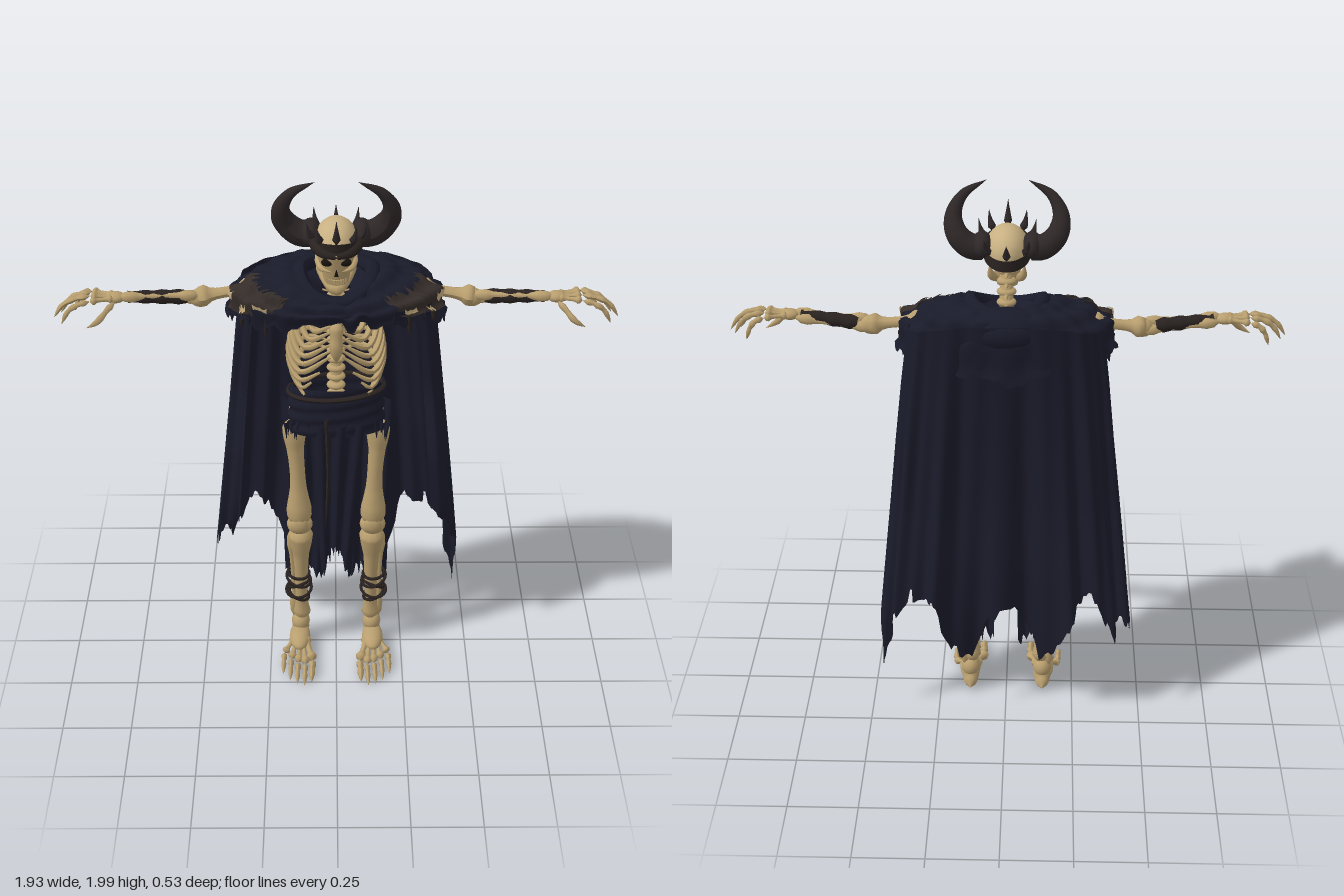
import * as THREE from 'three';

const V = (x, y, z) => new THREE.Vector3(x, y, z);
const lerp = THREE.MathUtils.lerp;
const material = (name, color, side = THREE.FrontSide) => {
  const m = new THREE.MeshStandardMaterial({ color, side });
  m.name = name;
  return m;
};
const bone = material('bone', 0xb99f6f);
const paleBone = material('pale bone', 0xc8b082, THREE.DoubleSide);
const cloth = material('midnight cloth', 0x1a1b2a, THREE.DoubleSide);
const leather = material('old leather', 0x292220, THREE.DoubleSide);
const horn = material('dark horn', 0x2e2728);
const patchMat = material('worn shoulder', 0x352d2a, THREE.DoubleSide);
const hollow = material('hollow', 0x17130f);

// Even samples along a list of values
const along = (list, t) => {
  const f = Math.min(Math.max(t, 0), 1) * (list.length - 1), i = Math.min(Math.floor(f), list.length - 2);
  return lerp(list[i], list[i + 1], f - i);
};
// Samples from [position, value] pairs
const curveAt = (pairs, t) => {
  let i = 0;
  while (i < pairs.length - 2 && t > pairs[i + 1][0]) i++;
  const [a, b] = [pairs[i], pairs[i + 1]];
  return lerp(a[1], b[1], (t - a[0]) / (b[0] - a[0]));
};
const jag = (i) => { const s = Math.sin(i * 12.9898) * 43758.5453; return s - Math.floor(s); };
const softPow = (x, p) => Math.sign(x) * Math.abs(x) ** p;

function add(parent, name, geo, mat, pos, scale) {
  const m = new THREE.Mesh(geo, mat);
  m.name = name;
  if (pos) m.position.copy(pos);
  if (scale) m.scale.set(...scale);
  parent.add(m);
  return m;
}
const ball = (parent, name, mat, pos, scale) => add(parent, name, new THREE.SphereGeometry(1, 18, 12), mat, pos, scale);

// Tube with a radius profile along its path
function sweep(parent, name, mat, pts, radii, seg = 16, sides = 8, closed = false) {
  const path = new THREE.CatmullRomCurve3(pts, closed);
  const g = new THREE.TubeGeometry(path, seg, 1, sides, closed);
  const p = g.attributes.position, v = V(0, 0, 0);
  for (let i = 0; i < p.count; i++) {
    const t = Math.floor(i / (sides + 1)) / seg, c = path.getPointAt(t);
    v.fromBufferAttribute(p, i).sub(c).multiplyScalar(along(radii, t)).add(c);
    p.setXYZ(i, v.x, v.y, v.z);
  }
  g.computeVertexNormals();
  return add(parent, name, g, mat);
}
const limb = (parent, name, a, b, r, mat = bone) =>
  sweep(parent, name, mat, [a, b], [0, 1.5, 1.7, 1.1, 0.9, 0.85, 0.85, 0.9, 1.1, 1.7, 1.5, 0].map((k) => k * r), 22);

// Sheet: u runs across, v runs from top to hem
function sheet(parent, name, mat, cols, rows, rule) {
  const g = new THREE.PlaneGeometry(1, 1, cols, rows);
  const p = g.attributes.position, uv = g.attributes.uv;
  for (let i = 0; i < p.count; i++) p.setXYZ(i, ...rule(uv.getX(i), 1 - uv.getY(i), i % (cols + 1)));
  g.computeVertexNormals();
  return add(parent, name, g, mat);
}

function buildHead(root) {
  const head = new THREE.Group();
  head.name = 'head';
  root.add(head);
  ball(head, 'cranium', paleBone, V(0, 1.765, 0.085), [0.076, 0.085, 0.105]);
  // Face block narrows to the chin
  add(head, 'face', new THREE.CylinderGeometry(0.064, 0.036, 0.14, 16, 4), bone, V(0, 1.69, 0.128)).rotation.x = 0.06;
  sweep(head, 'jaw', bone, [V(-0.06, 1.72, 0.06), V(-0.052, 1.665, 0.085), V(0, 1.628, 0.165), V(0.052, 1.665, 0.085), V(0.06, 1.72, 0.06)], [0, 0.015, 0.016, 0.018, 0.016, 0.015, 0], 24);
  for (const s of [-1, 1]) {
    ball(head, 'eyeSocket', hollow, V(s * 0.03, 1.738, 0.18), [0.02, 0.014, 0.012]);
    sweep(head, 'cheekbone', bone, [V(s * 0.015, 1.705, 0.188), V(s * 0.05, 1.708, 0.163), V(s * 0.07, 1.73, 0.09)], [0, 0.01, 0.01, 0]);
    sweep(head, 'brow', leather, [V(0, 1.765, 0.196), V(s * 0.04, 1.768, 0.18), V(s * 0.085, 1.785, 0.1)], [0.01, 0.016, 0.022, 0.014]);
    // Broad root tapering to an inward tip
    sweep(head, 'horn', horn, [V(s * 0.05, 1.79, 0.06), V(s * 0.12, 1.785, 0.055), V(s * 0.168, 1.825, 0.06), V(s * 0.182, 1.885, 0.085), V(s * 0.15, 1.95, 0.108), V(s * 0.07, 1.998, 0.125)], [0, 0.046, 0.044, 0.041, 0.036, 0.029, 0.022, 0.016, 0.009, 0], 36, 12);
    ball(head, 'hornRoot', horn, V(s * 0.085, 1.79, 0.06), [0.035, 0.043, 0.066]);
  }
  add(head, 'noseHollow', new THREE.ConeGeometry(0.009, 0.026, 3), hollow, V(0, 1.702, 0.186)).rotation.y = Math.PI;
  for (let i = -4; i <= 4; i++) add(head, 'tooth', new THREE.BoxGeometry(0.006, 0.016, 0.006), bone, V(i * 0.0075, 1.662, 0.178 - i * i * 0.0012));
  // Crown band with thorns leaning outward
  sheet(head, 'crown', leather, 40, 2, (u, v) => {
    const a = u * Math.PI * 2, back = (1 - Math.cos(a)) / 2;
    return [0.081 * Math.sin(a), 1.808 - v * 0.04 - back * 0.045, 0.085 + 0.109 * Math.cos(a)];
  });
  for (const a of [0, -0.7, 0.7, -1.35, 1.35, -2.3, 2.3, Math.PI]) {
    const b = V(0.075 * Math.sin(a), 1.8 - 0.02 * (1 - Math.cos(a)), 0.085 + 0.1 * Math.cos(a));
    const tip = V(b.x * 1.35, b.y + (a === 0 ? 0.1 : 0.075), b.z + (Math.cos(a) > 0 ? 0.022 : -0.05));
    sweep(head, 'crownThorn', horn, [b, b.clone().lerp(tip, 0.5).add(V(b.x * 0.08, 0, 0.005)), tip], [0, 0.014, 0.009, 0.004, 0], 12, 6);
  }
}

function buildTorso(root) {
  const torso = new THREE.Group();
  torso.name = 'torso';
  root.add(torso);
  // Spine and neck
  const spineAt = (y) => V(0, y, y < 1.5 ? -0.035 + 0.035 * Math.cos((y - 1.1) * 8) : -0.07 + (y - 1.5) * 0.5);
  for (let i = 0; i < 20; i++) {
    const c = spineAt(1.1 + i * 0.032);
    ball(torso, 'vertebra', bone, c, [0.034, 0.016, 0.028]);
    sweep(torso, 'spineThorn', bone, [c, c.clone().add(V(0, -0.012, -0.05))], [0.012, 0.009, 0], 4, 5);
  }
  sweep(torso, 'spinalCore', bone, Array.from({ length: 10 }, (_, i) => spineAt(1.1 + i * 0.069)), [0, 0.022, 0.02, 0.02, 0.022, 0.024, 0.022], 30);
  sweep(torso, 'sternum', bone, [V(0, 1.5, 0.125), V(0, 1.42, 0.142), V(0, 1.33, 0.138)], [0, 0.026, 0.02, 0.024, 0.018, 0]);
  for (const s of [-1, 1]) {
    for (let i = 0; i < 9; i++) {
      const y = 1.54 - i * 0.032, w = along([0.1, 0.135, 0.155, 0.165, 0.165, 0.145], i / 8);
      const end = i < 6 ? V(s * 0.02, y - 0.065 + i * 0.008, 0.136) : V(s * (0.055 + (i - 6) * 0.03), y - 0.06 - (i - 6) * 0.015, 0.125 - (i - 6) * 0.015);
      sweep(torso, 'rib', bone, [V(s * 0.015, y, -0.05), V(s * w * 0.7, y + 0.008, -0.065), V(s * w, y - 0.045, 0.02), V(s * w * 0.76, y - 0.1, 0.105), end], [0, 0.009, 0.01, 0.011, 0.011, 0.009, 0.004], 24, 6);
    }
    sweep(torso, 'collarbone', bone, [V(s * 0.02, 1.5, 0.135), V(s * 0.13, 1.52, 0.13), V(s * 0.3, 1.54, 0.02)], [0, 0.014, 0.012, 0.015, 0]);
    ball(torso, 'hipBone', bone, V(s * 0.1, 1.06, 0), [0.07, 0.07, 0.05]);
  }
  // Waist wraps
  sheet(torso, 'sash', cloth, 60, 16, (u, v) => {
    const a = u * Math.PI * 2, r = 1 + 0.035 * Math.sin(v * 24 + 2 * Math.sin(a)) + 0.04 * v;
    return [0.165 * r * Math.sin(a), 1.2 - v * 0.19 + 0.012 * Math.sin(a + 1), 0.03 + 0.092 * r * Math.cos(a)];
  });
  const ring = Array.from({ length: 16 }, (_, i) => i / 16 * Math.PI * 2).map((a) => V(0.168 * Math.sin(a), 1.175 + 0.012 * Math.sin(a), 0.03 + 0.094 * Math.cos(a)));
  sweep(torso, 'belt', leather, ring, [0.01, 0.01], 48, 6, true);
}

function buildArm(root, s) {
  const arm = new THREE.Group();
  arm.name = s > 0 ? 'leftArm' : 'rightArm';
  root.add(arm);
  const P = (x, y, z) => V(s * x, y, z);
  limb(arm, 'upperArm', P(0.27, 1.545, -0.02), P(0.49, 1.515, 0), 0.023);
  ball(arm, 'elbow', bone, P(0.465, 1.515, 0), [0.04, 0.034, 0.028]);
  limb(arm, 'radius', P(0.46, 1.53, 0.012), P(0.745, 1.54, 0.045), 0.012);
  limb(arm, 'ulna', P(0.45, 1.505, -0.01), P(0.735, 1.53, 0.02), 0.012);
  sweep(arm, 'forearmWrap', leather, [P(0.51, 1.52, 0.004), P(0.71, 1.534, 0.031)], [0.022, 0.027, 0.023, 0.026, 0.021, 0.024, 0.019, 0.021], 28, 10);
  ball(arm, 'wrist', bone, P(0.75, 1.535, 0.035), [0.032, 0.019, 0.028]);
  for (let i = 0; i < 4; i++) {
    const z = -0.012 + i * 0.032, len = [0.9, 0.945, 0.965, 0.935][i], y = 1.545 - Math.abs(i - 1.5) * 0.008;
    const k = P(0.835, y + 0.005, 0.02 + (z - 0.02) * 0.8);
    limb(arm, 'handBone', P(0.755, 1.537, 0.022 + i * 0.009), k, 0.0085);
    sweep(arm, 'finger', bone, [k, P(lerp(0.835, len, 0.45), y - 0.005, z), P(lerp(0.835, len, 0.75), y - 0.028, z), P(len, y - 0.075, z)], [0, 0.013, 0.008, 0.012, 0.008, 0.009, 0.006, 0], 24, 6);
  }
  sweep(arm, 'thumb', bone, [P(0.75, 1.53, 0.05), P(0.78, 1.505, 0.08), P(0.81, 1.475, 0.1), P(0.85, 1.45, 0.1)], [0, 0.012, 0.009, 0.012, 0.008, 0], 18, 6);
}

function buildLeg(root, s) {
  const leg = new THREE.Group();
  leg.name = s > 0 ? 'leftLeg' : 'rightLeg';
  root.add(leg);
  const P = (x, y, z) => V(s * x, y, z);
  sweep(leg, 'thighBone', bone, [P(0.145, 1.05, 0.015), P(0.15, 0.98, 0.025), P(0.14, 0.8, 0.035), P(0.135, 0.575, 0.03)], [0, 0.045, 0.04, 0.032, 0.029, 0.028, 0.028, 0.031, 0.038, 0.046, 0.046, 0], 36, 10);
  ball(leg, 'knee', bone, P(0.135, 0.583, 0.028), [0.048, 0.04, 0.04]);
  ball(leg, 'kneecap', bone, P(0.135, 0.6, 0.062), [0.032, 0.036, 0.018]);
  sweep(leg, 'shinBone', bone, [P(0.133, 0.585, 0.028), P(0.132, 0.4, 0.015), P(0.132, 0.09, -0.02)], [0, 0.047, 0.04, 0.03, 0.027, 0.025, 0.024, 0.023, 0.025, 0.034, 0], 30, 10);
  limb(leg, 'calfBone', P(0.168, 0.55, 0.005), P(0.158, 0.09, -0.03), 0.011);
  // Ankle bindings
  for (let i = 0; i < 5; i++) {
    const r = add(leg, 'binding', new THREE.TorusGeometry(0.04 + (i % 2) * 0.008, 0.006, 6, 20), leather, P(0.142, 0.235 + i * 0.027, -0.003 + i * 0.003));
    r.rotation.set(Math.PI / 2 + 0.35 * Math.sin(i * 2.3), s * 0.4 * Math.cos(i * 1.9), 0);
  }
  // Heel to instep, then toes
  ball(leg, 'ankle', bone, P(0.137, 0.09, -0.02), [0.035, 0.04, 0.038]);
  sweep(leg, 'heel', bone, [P(0.137, 0.085, -0.005), P(0.137, 0.045, -0.035), P(0.137, 0.025, -0.078)], [0, 0.034, 0.03, 0.024, 0], 14, 10);
  ball(leg, 'instep', bone, P(0.14, 0.052, 0.03), [0.04, 0.03, 0.08]);
  for (let i = 0; i < 5; i++) {
    const x = 0.09 + i * 0.027, end = [0.25, 0.272, 0.262, 0.24, 0.205][i], thick = i ? 1 : 1.3;
    const k = P(x, 0.025, end - 0.105);
    limb(leg, 'footBone', P(0.12 + i * 0.01, 0.055, 0.04), k, 0.0095 * thick);
    sweep(leg, 'toe', bone, [k, P(x + 0.002, 0.026, end - 0.05), P(x + 0.004, 0.006, end)], [0, 0.013, 0.008, 0.011, 0.007, 0].map((r) => r * thick), 16, 6);
  }
}

function buildCloth(root) {
  // Long ragged cape wrapped round the back
  const hem = [[-1, 0.62], [-0.8, 0.5], [-0.66, 0.36], [-0.55, 0.42], [-0.45, 0.37], [-0.36, 0.53], [-0.25, 0.52], [-0.18, 0.32], [-0.1, 0.24], [-0.04, 0.48],
    [0.04, 0.46], [0.1, 0.28], [0.18, 0.3], [0.25, 0.54], [0.4, 0.54], [0.5, 0.42], [0.64, 0.2], [0.72, 0.42], [0.82, 0.56], [1, 0.62]];
  sheet(root, 'cape', cloth, 180, 26, (u, v, i) => {
    const t = u * 2 - 1, a = t * 2.2;
    const y = lerp(1.6 - 0.05 * Math.sin(a) ** 2, curveAt(hem, t) + 0.07 * (jag(Math.floor(i / 2)) - 0.5), v);
    const d = (1.6 - y) / 1.2;
    const fold = (0.003 + 0.02 * Math.min(d, 1)) * (Math.sin(t * 29 + d) + 0.6 * Math.sin(t * 53 + 2 - d));
    const w = along([0.325, 0.355, 0.38, 0.405, 0.43, 0.455], d) + fold * 0.4;
    const depth = along([0.107, 0.107, 0.108, 0.16, 0.175, 0.15], d) + fold;
    const dip = 0.07 * Math.exp(-((t / 0.2) ** 2)) * d;
    return [w * softPow(Math.sin(a), 0.85), y, along([-0.093, -0.093, -0.1, -0.065, -0.08, -0.12], d) + dip - depth * softPow(Math.cos(a), 0.75)];
  });
  // Shoulder mantle, with worn patches lying just over it
  const mantle = (a, v, lift, rag) => {
    const c = Math.cos(a), s2 = Math.sin(a) ** 2;
    const side = along([1.55, 1.63, 1.61, 1.59, 1.55, 1.475], v);
    const mid = c > 0 ? along([1.53, 1.575, 1.565, 1.545, 1.525, 1.5], v) : along([1.57, 1.625, 1.63, 1.6, 1.53, 1.42], v);
    const z = c > 0 ? along([0.04, 0.1, 0.14, 0.165, 0.175, 0.16], v) : along([0.04, 0.1, 0.15, 0.19, 0.2, 0.205], v);
    const crease = 0.006 * Math.sin(a * 17 + v * 5) * v + 0.006 * Math.sin(v * 26 + Math.sin(a * 2));
    const r = 1 + crease * 3 + lift * 3;
    return [along([0.05, 0.155, 0.22, 0.3, 0.36, 0.375], v) * r * Math.sin(a), lerp(mid, side, s2) + crease + lift - rag * v ** 4, z * r * c - 0.01 * s2];
  };
  sheet(root, 'mantle', cloth, 120, 20, (u, v, i) => mantle(u * Math.PI * 2, v, 0, 0.05 * jag(Math.floor(i % 120 / 2))));
  for (const s of [-1, 1]) {
    sheet(root, 'shoulderPatch', patchMat, 28, 10, (u, v, i) => mantle(s * lerp(0.6, 1.5, u), lerp(0.48 + 0.14 * jag(i), 0.97, v), 0.005, 0));
    // Bone-coloured scraps showing on the worn shoulder
    for (const [a, v0] of [[0.68, 0.8], [0.95, 0.86], [1.2, 0.76]]) {
      sheet(root, 'paleScrap', paleBone, 6, 3, (u, v, i) => mantle(s * (a + u * 0.16), v0 + 0.05 * jag(i + a * 10) + v * 0.07, 0.009, 0));
    }
    // Torn strips below the mantle
    for (let i = 0; i < 6; i++) {
      const [x, y, z] = mantle(s * (0.55 + i * 0.2), 0.97, -0.01, 0);
      sweep(root, 'tatter', i % 2 ? leather : cloth, [V(x, y + 0.02, z), V(x * 1.01, y - 0.03 - 0.04 * jag(i), z)], [0.014, 0.009, 0], 6, 4);
    }
  }
  // Cowl rolls and the hood fallen behind the neck
  for (const [r, y, drop, thick] of [[0.125, 1.595, 0.045, 0.025], [0.155, 1.58, 0.06, 0.022]]) {
    const ring = Array.from({ length: 16 }, (_, i) => i / 16 * Math.PI * 2).map((a) => V(r * Math.sin(a), y - drop * Math.max(0, Math.cos(a)) + 0.02 * Math.sin(a) ** 2, r * 0.95 * Math.cos(a)));
    sweep(root, 'cowlRoll', cloth, ring, [thick, thick * 1.2, thick], 48, 8, true);
  }
  ball(root, 'fallenHood', cloth, V(0, 1.56, -0.125), [0.14, 0.075, 0.09]);
  // Loincloth, rear and hip panels: [name, x, z, half width, end half width, hem]
  const panels = [['loincloth', 0, 0.125, 0.1, 0.055, 0.36], ['rearPanel', -0.12, -0.06, 0.09, 0.075, 0.24], ['rearPanel', 0.12, -0.06, 0.09, 0.075, 0.24], ['hipPanel', -0.16, 0.095, 0.035, 0.02, 0.97], ['hipPanel', 0.16, 0.095, 0.035, 0.02, 0.97]];
  for (const [name, x, z, w0, w1, low] of panels) {
    sheet(root, name, cloth, 24, 18, (u, v, i) => {
      const t = u * 2 - 1, split = name === 'loincloth' ? 0.12 * (1 - Math.abs(t)) : 0;
      return [x + t * lerp(w0, w1, v), lerp(1.07, low + split + 0.08 * jag(i + 5), v), z - 0.02 * v + 0.012 * Math.sin(t * 9 + v * 2) - 0.012 * t * t];
    });
  }
  sweep(root, 'hangingStrap', leather, [V(-0.035, 1.1, 0.135), V(-0.03, 0.85, 0.13), V(-0.04, 0.6, 0.12)], [0.008, 0.006, 0.006, 0], 12, 5);
}

export function createModel() {
  const root = new THREE.Group();
  root.name = 'hornedSkeleton';
  buildHead(root);
  buildTorso(root);
  for (const s of [-1, 1]) {
    buildArm(root, s);
    buildLeg(root, s);
  }
  buildCloth(root);
  return root;
}
